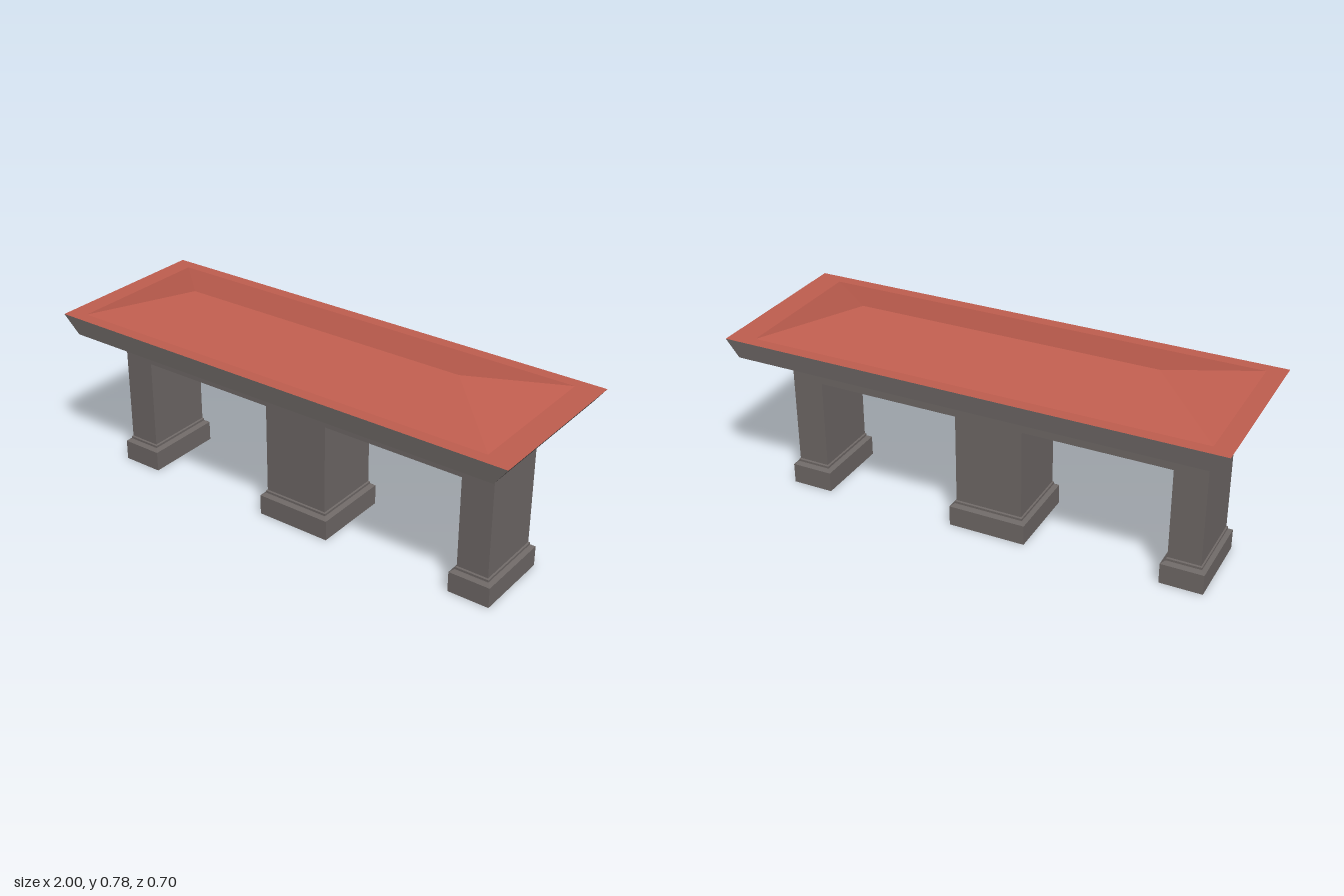
import * as THREE from 'three';

const stone = new THREE.MeshStandardMaterial({ color: 0x6e6866 });
stone.name = 'grey stone';
const tile = new THREE.MeshStandardMaterial({ color: 0xc05e4f });
tile.name = 'red roof';

// Joins rectangular sections [x0, x1, halfDepth, y] into a faceted shell
function loft(sections, capStart = false) {
  const rings = sections.map(([x0, x1, d, y]) => [[x0, y, d], [x1, y, d], [x1, y, -d], [x0, y, -d]]);
  const points = [];
  const quad = (a, b, c, d) => points.push(...a, ...b, ...c, ...a, ...c, ...d);
  for (let i = 0; i < rings.length - 1; i++) {
    for (let k = 0; k < 4; k++) {
      const n = (k + 1) % 4;
      quad(rings[i][k], rings[i][n], rings[i + 1][n], rings[i + 1][k]);
    }
  }
  if (capStart) quad(...[...rings[0]].reverse());
  const geometry = new THREE.BufferGeometry();
  geometry.setAttribute('position', new THREE.Float32BufferAttribute(points, 3));
  geometry.computeVertexNormals();
  return geometry;
}

export function createModel() {
  const model = new THREE.Group();
  model.name = 'pavilion';
  const add = (name, geometry, material) => {
    const mesh = new THREE.Mesh(geometry, material);
    mesh.name = name;
    model.add(mesh);
    return mesh;
  };

  const depth = 0.145;
  const posts = [[-0.875, -0.745], [-0.153, 0.125], [0.716, 0.846]];
  const beamY = 0.48, topY = 0.6, footY = 0.1;

  // Beam and three posts as one continuous outline
  const outline = new THREE.Shape();
  outline.moveTo(posts[0][0], topY);
  posts.forEach(([x0, x1], i) => {
    if (i > 0) outline.lineTo(x0, beamY);
    outline.lineTo(x0, footY);
    outline.lineTo(x1, footY);
    if (i < posts.length - 1) outline.lineTo(x1, beamY);
  });
  outline.lineTo(posts[2][1], topY);
  outline.closePath();
  const frame = new THREE.ExtrudeGeometry(outline, { depth: depth * 2, bevelEnabled: false });
  frame.translate(0, 0, -depth);
  add('postsAndBeam', frame, stone);

  // Hollow plinths with a stepped moulding: [outset from post, height]
  const plinthProfile = [
    [0.004, 0.085], [0.004, 0], [0.021, 0], [0.021, 0.084],
    [0.007, 0.093], [0.005, 0.095], [0.005, 0.104], [0, 0.108],
  ];
  posts.forEach(([x0, x1], i) => {
    const sections = plinthProfile.map(([o, y]) => [x0 - o, x1 + o, depth + o, y]);
    add(['rightPlinth', 'middlePlinth', 'leftPlinth'][i], loft(sections, true), stone);
  });

  // Sloping soffit and flared eaves
  add('eaves', loft([
    [-0.875, 0.846, depth, topY],
    [-0.93, 0.948, 0.344, 0.636],
    [-1, 1, 0.348, 0.706],
  ]), stone);

  // Flat rim and low hipped roof
  add('roof', loft([
    [-1, 1, 0.348, 0.706],
    [-0.925, 0.897, 0.3, 0.706],
    [-0.62, 0.597, 0, 0.781],
  ]), tile);

  return model;
}
